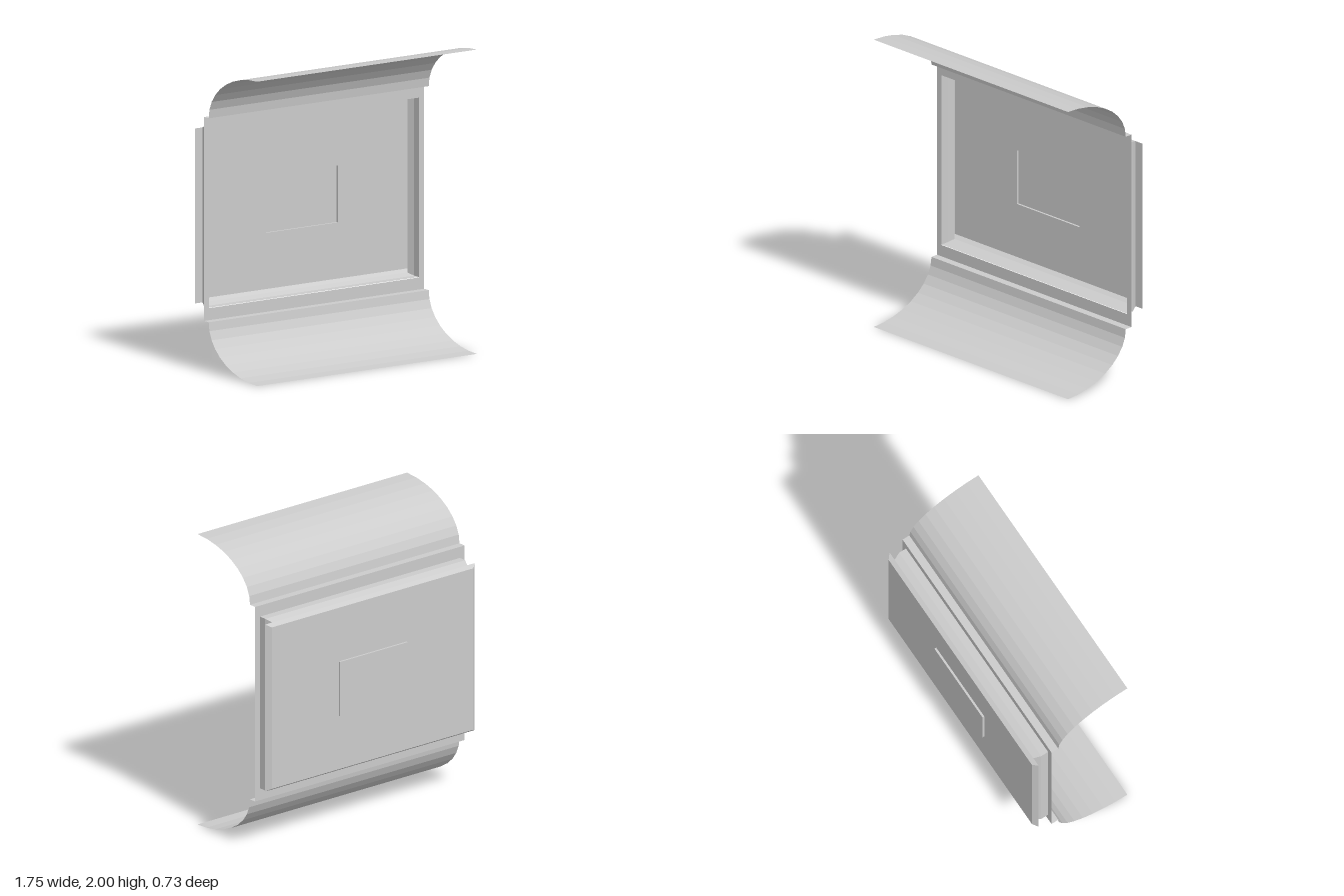
import * as THREE from 'three';

const W = 0.873;          // half width of the body
const CY = 1.003;         // height of the tray centre
const FACE = -0.222;      // z of the flat frame
const BACK = -0.351;      // z of the tray back

const material = new THREE.MeshStandardMaterial({
  color: 0xcccccc, flatShading: true, side: THREE.DoubleSide,
});

function addMesh(parent, geometry, name) {
  const mesh = new THREE.Mesh(geometry, material);
  mesh.name = name;
  parent.add(mesh);
  return mesh;
}

// Flat rectangle facing the back or front, with a rectangular opening
function framedSheet(hx, hy, holeX, holeY, z) {
  const rect = (Type, x, y) => new Type([
    new THREE.Vector2(-x, -y), new THREE.Vector2(x, -y),
    new THREE.Vector2(x, y), new THREE.Vector2(-x, y),
  ]);
  const shape = rect(THREE.Shape, hx, hy);
  shape.holes.push(rect(THREE.Path, holeX, holeY));
  return new THREE.ShapeGeometry(shape).translate(0, CY, z);
}

// Skin of quads between successive rows of points
function skin(rows, closed) {
  const pos = [];
  for (let r = 0; r < rows.length - 1; r++) {
    const n = rows[r].length;
    for (let i = 0; i < (closed ? n : n - 1); i++) {
      const j = (i + 1) % n;
      const a = rows[r][i], b = rows[r][j], c = rows[r + 1][j], d = rows[r + 1][i];
      pos.push(...a, ...b, ...c, ...a, ...c, ...d);
    }
  }
  const geometry = new THREE.BufferGeometry();
  geometry.setAttribute('position', new THREE.Float32BufferAttribute(pos, 3));
  geometry.computeVertexNormals();
  return geometry;
}

// Rectangular walls lofted through [half width, half height, z] sections
function rectWalls(sections) {
  return skin(sections.map(([x, y, z]) => [
    [-x, CY - y, z], [x, CY - y, z], [x, CY + y, z], [-x, CY + y, z],
  ]), true);
}

// Ledge and quarter-ellipse sheet, above (side 1) or below (side -1) the frame
function curvedSheet(side) {
  const profile = [[0.67, FACE]];
  for (let i = 0; i <= 9; i++) {
    const t = (i / 9) * Math.PI / 2;
    profile.push([0.67 + 0.33 * Math.sin(t), 0.362 - 0.532 * Math.cos(t)]);
  }
  const rows = profile.map(([y, z]) => {
    const h = 1 + side * y;
    return [[-side * W, h, z], [side * W, h, z]];
  });
  return skin(rows, false);
}

export function createModel() {
  const group = new THREE.Group();

  // Flat frame around the tray opening
  addMesh(group, framedSheet(W, 0.67, 0.833, 0.591, FACE).translate(0, 1 - CY, 0), 'frame');

  // Flared sheets
  addMesh(group, curvedSheet(1), 'upperCurvedSheet');
  addMesh(group, curvedSheet(-1), 'lowerCurvedSheet');

  // Tray walls with the side flanges
  addMesh(group, rectWalls([
    [0.833, 0.591, FACE], [0.833, 0.591, -0.275], [0.813, 0.575, -0.322],
    [W, 0.575, -0.322], [0.84, 0.556, BACK],
  ]), 'trayWalls');

  // Tray back with a shallow central recess
  addMesh(group, framedSheet(0.84, 0.556, 0.282, 0.187, BACK), 'trayBack');
  addMesh(group, rectWalls([[0.282, 0.187, BACK], [0.282, 0.187, -0.365]]), 'recessWalls');
  addMesh(group, new THREE.PlaneGeometry(0.564, 0.374).translate(0, CY, -0.365), 'recessFloor');

  return group;
}
